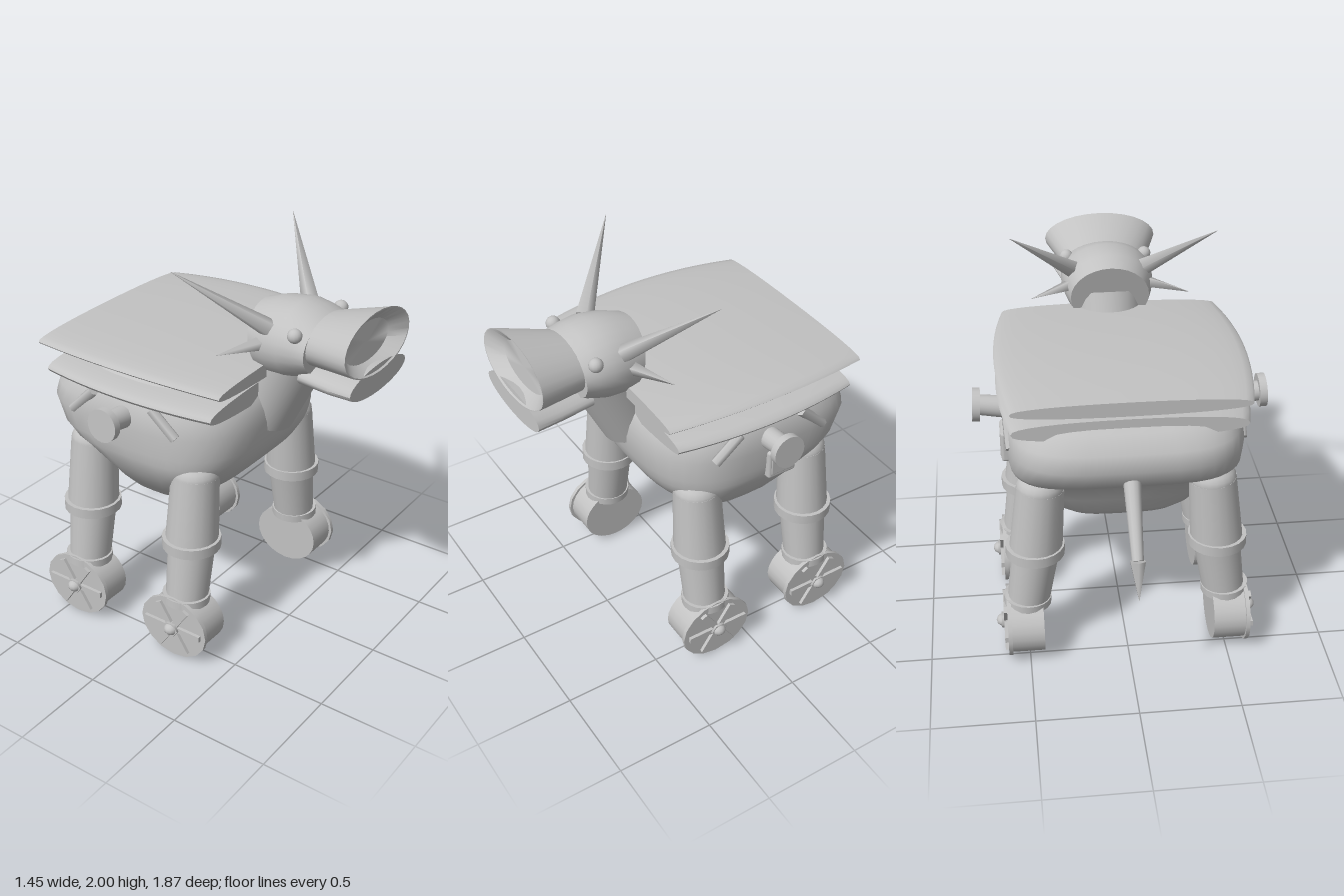
import * as THREE from 'three';
import { toCreasedNormals } from 'three/addons/utils/BufferGeometryUtils.js';
import { RoundedBoxGeometry } from 'three/addons/geometries/RoundedBoxGeometry.js';

const grey = new THREE.MeshStandardMaterial({ color: 0xc2c2c2, side: THREE.DoubleSide });
grey.name = 'grey';
const V = (x, y, z) => new THREE.Vector3(x, y, z);

function add(parent, name, geometry, x = 0, y = 0, z = 0) {
  const mesh = new THREE.Mesh(geometry, grey);
  mesh.name = name;
  mesh.position.set(x, y, z);
  parent.add(mesh);
  return mesh;
}

// Tapered round bar from a to b
function rod(parent, name, a, b, ra, rb, sides = 20) {
  const axis = b.clone().sub(a);
  const geo = new THREE.CylinderGeometry(rb, ra, axis.length(), sides);
  const mesh = add(parent, name, geo);
  mesh.position.copy(a).add(b).multiplyScalar(0.5);
  mesh.quaternion.setFromUnitVectors(V(0, 1, 0), axis.normalize());
}

// Skin over closed rings of points, listed bottom to top or front to back
function loft(rings, crease = 0.7) {
  const n = rings[0].length, pts = rings.flat(), index = [];
  for (let j = 0; j < rings.length - 1; j++) {
    for (let i = 0; i < n; i++) {
      const k = (i + 1) % n, a = j * n, b = a + n;
      index.push(a + i, b + i, a + k, a + k, b + i, b + k);
    }
  }
  [0, rings.length - 1].forEach((j) => {
    const c = pts.length;
    pts.push(rings[j].reduce((s, p) => s.add(p), V(0, 0, 0)).divideScalar(n));
    for (let i = 0; i < n; i++) {
      const a = j * n + i, b = j * n + (i + 1) % n;
      index.push(c, j ? b : a, j ? a : b);
    }
  });
  const geo = new THREE.BufferGeometry().setFromPoints(pts);
  geo.setIndex(index);
  return toCreasedNormals(geo, crease);
}

function ring(n, fn) {
  return Array.from({ length: n }, (_, i) => fn(Math.cos(i / n * 2 * Math.PI), Math.sin(i / n * 2 * Math.PI)));
}
const power = (v, p) => Math.sign(v) * Math.abs(v) ** p;

// Ellipse facing z; lean shifts the top towards -z
const oval = ([z, y, rx, ry, lean = 0]) =>
  ring(28, (c, s) => V(rx * c, y + ry * s, z - lean * s));

// Lens-section board, bowed outwards along its length and arched upwards
function board(parent, name, y, thick, width, zFront, zBack, arch) {
  const mid = (zFront + zBack) / 2, half = (zFront - zBack) / 2;
  const rings = [];
  for (let j = 0; j <= 12; j++) {
    const t = 1 - j / 6, bow = 1 - t * t;
    rings.push(ring(32, (c, s) => V(
      (width - 0.055 * (1 - bow)) * power(c, 0.9), y + arch * bow + thick * power(s, 0.78), mid + half * t)));
  }
  add(parent, name, loft(rings, 0.8));
}

function buildLeg(parent, s, z, label) {
  const leg = new THREE.Group();
  leg.name = label + (s > 0 ? 'LegLeft' : 'LegRight');
  parent.add(leg);
  const hip = V(s * 0.418, 0.96, z), knee = V(s * 0.45, 0.6, z), ankle = V(s * 0.495, 0.3, z);
  rod(leg, 'upperLeg', hip, knee, 0.117, 0.132);
  add(leg, 'hip', new THREE.SphereGeometry(0.117, 20, 12), hip.x, hip.y, z).scale.y = 0.75;
  rod(leg, 'kneeBand', V(s * 0.453, 0.632, z), V(s * 0.453, 0.58, z), 0.146, 0.146);
  rod(leg, 'lowerLeg', knee, ankle, 0.118, 0.106);
  rod(leg, 'ankleBand', V(s * 0.499, 0.325, z), V(s * 0.501, 0.285, z), 0.12, 0.12);

  // Slightly squashed wheel with spokes on its outer face
  const wheel = new THREE.Group();
  wheel.name = 'wheel';
  wheel.position.set(0, 0.17, z - 0.003);
  wheel.scale.y = 0.86;
  leg.add(wheel);
  rod(wheel, 'tyre', V(s * 0.427, 0, 0), V(s * 0.59, 0, 0), 0.18, 0.18, 24);
  rod(wheel, 'wheelPlate', V(s * 0.588, 0, 0), V(s * 0.608, 0, 0), 0.196, 0.196, 16);
  for (let i = 0; i < 3; i++) {
    const spoke = add(wheel, 'spoke', new THREE.BoxGeometry(0.02, 0.034, 0.335), s * 0.615);
    spoke.rotation.x = i * Math.PI / 3;
  }
  rod(wheel, 'hubBase', V(s * 0.6, 0, 0), V(s * 0.637, 0, 0), 0.045, 0.045, 6);
  add(wheel, 'hub', new THREE.SphereGeometry(0.036, 12, 8), s * 0.627);
}

export function createModel() {
  const model = new THREE.Group();
  model.name = 'wheeledBeast';

  // Body: y, half width, front z, back z, front and back roundness; the rump overhangs the belly
  const body = [
    [0.675, 0.2, 0.0, -0.22, 0.66, 0.6], [0.685, 0.29, 0.06, -0.29, 0.66, 0.6],
    [0.73, 0.36, 0.13, -0.33, 0.66, 0.6], [0.82, 0.45, 0.24, -0.37, 0.66, 0.58],
    [0.92, 0.525, 0.335, -0.43, 0.64, 0.55], [0.985, 0.552, 0.375, -0.5, 0.64, 0.5],
    [1.02, 0.562, 0.39, -0.57, 0.64, 0.48], [1.07, 0.568, 0.405, -0.635, 0.65, 0.48],
    [1.18, 0.573, 0.42, -0.705, 0.68, 0.53], [1.26, 0.568, 0.415, -0.68, 0.74, 0.54],
    [1.34, 0.535, 0.395, -0.62, 0.84, 0.56], [1.41, 0.45, 0.32, -0.48, 0.9, 0.6],
    [1.445, 0.34, 0.2, -0.33, 0.9, 0.7], [1.46, 0.2, 0.1, -0.2, 0.9, 0.8],
  ];
  add(model, 'body', loft(body.map(([y, w, f, b, pf, pb]) => ring(40, (c, s) => {
    const p = s > 0 ? pf : pb;
    return V(w * power(c, p), y, (f + b) / 2 + (f - b) / 2 * power(s, p));
  })), 1.2));

  // Two boards on the back
  board(model, 'lowerBoard', 1.347, 0.052, 0.605, 0.385, -0.59, 0.006);
  board(model, 'upperBoard', 1.477, 0.036, 0.608, 0.433, -0.637, 0.018);

  // Neck and head
  rod(model, 'neck', V(0, 1.165, 0.318), V(0, 1.55, 0.48), 0.152, 0.178, 24);
  add(model, 'head', loft([
    [0.66, 1.617, 0.225, 0.138], [0.6, 1.615, 0.231, 0.165], [0.52, 1.61, 0.237, 0.188],
    [0.43, 1.598, 0.225, 0.186, 0.03], [0.35, 1.58, 0.2, 0.172, 0.045],
  ].map(oval)));

  // Flared upper muzzle with a recessed mouth, and the lower jaw
  add(model, 'upperMuzzle', loft([
    [0.855, 1.672, 0.2, 0.09, 0.01], [0.912, 1.682, 0.288, 0.134, 0.02],
    [0.912, 1.682, 0.295, 0.14, 0.02], [0.64, 1.635, 0.2, 0.119],
  ].map(oval)));
  add(model, 'lowerJaw', loft([
    [0.925, 1.512, 0.255, 0.066, 0.004], [0.78, 1.488, 0.212, 0.064], [0.6, 1.478, 0.17, 0.062],
  ].map(oval)));

  for (const s of [1, -1]) {
    // Face details
    add(model, 'eye', new THREE.SphereGeometry(0.035, 14, 10), s * 0.203, 1.705, 0.6);
    rod(model, 'horn', V(s * 0.185, 1.7, 0.445), V(s * 0.5, 2.0, 0.135), 0.046, 0.001, 5);
    rod(model, 'ear', V(s * 0.2, 1.622, 0.42), V(s * 0.4, 1.605, 0.31), 0.034, 0.001, 4);

    buildLeg(model, s, 0.203, 'front');
    buildLeg(model, s, -0.425, 'rear');

    // Side peg with end disc
    rod(model, 'sidePeg', V(s * 0.5, 1.225, -0.115), V(s * 0.69, 1.25, -0.115), 0.058, 0.05);
    rod(model, 'pegDisc', V(s * 0.685, 1.25, -0.112), V(s * 0.722, 1.252, -0.112), 0.083, 0.083, 24);

    // Struts under the lower board
    rod(model, 'frontStrut', V(s * 0.56, 1.32, 0.055), V(s * 0.55, 1.2, 0.185), 0.026, 0.026, 6);
    rod(model, 'rearStrut', V(s * 0.56, 1.32, -0.29), V(s * 0.55, 1.18, -0.435), 0.026, 0.026, 6);
  }

  // Small box on the left flank
  add(model, 'sideBox', new RoundedBoxGeometry(0.05, 0.16, 0.16, 2, 0.015), 0.568, 1.08, -0.175);
  add(model, 'sideBoxLid', new RoundedBoxGeometry(0.016, 0.13, 0.13, 2, 0.006), 0.589, 1.088, -0.175);

  // Tail with a pointed tuft
  rod(model, 'tail', V(0, 1.13, -0.6), V(0, 0.81, -0.87), 0.044, 0.028, 12);
  rod(model, 'tailTip', V(0, 0.81, -0.872), V(0, 0.635, -0.938), 0.04, 0.001, 6);

  return model;
}
